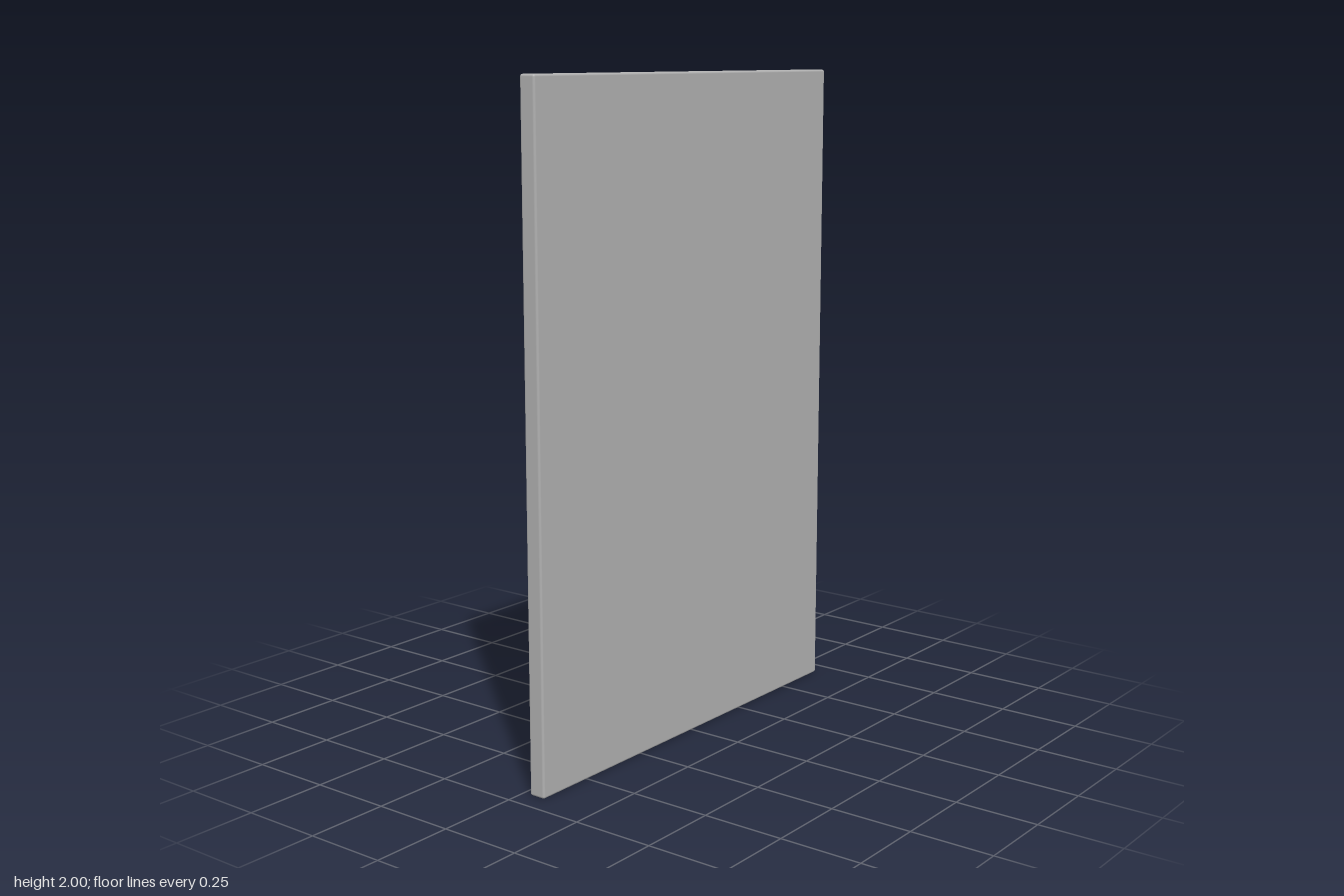
import * as THREE from 'three';
import { RoundedBoxGeometry } from 'three/addons/geometries/RoundedBoxGeometry.js';

export function createModel() {
  const grey = new THREE.MeshStandardMaterial({ color: 0xb0b0b0 });
  grey.name = 'plain grey';
  const model = new THREE.Group();
  model.name = 'doubleDoor';

  // Box given by its bounds; a bevel above zero softens its edges
  function slab(name, x0, x1, y0, y1, z0, z1, bevel, parent = model) {
    const w = x1 - x0, h = y1 - y0, d = z1 - z0;
    const geometry = bevel > 0
      ? new RoundedBoxGeometry(w, h, d, 2, bevel)
      : new THREE.BoxGeometry(w, h, d);
    const mesh = new THREE.Mesh(geometry, grey);
    mesh.name = name;
    mesh.position.set((x0 + x1) / 2, (y0 + y1) / 2, (z0 + z1) / 2);
    parent.add(mesh);
  }

  // Wall and the raised frame on its back
  slab('wall', -0.69, 0.69, 0, 2, 0.026, 0.078, 0.007);
  slab('doorFrame', -0.498, 0.498, 0, 1.77, -0.004, 0.034, 0.005);

  // Two mirrored door leaves, each with two panels and a knob
  for (const side of [-1, 1]) {
    const door = new THREE.Group();
    door.name = side > 0 ? 'leftDoor' : 'rightDoor';
    model.add(door);
    const span = (a, b) => (side > 0 ? [a, b] : [-b, -a]);

    slab('doorLeaf', ...span(0.024, 0.483), 0.042, 1.732, -0.026, 0.004, 0.005, door);
    slab('upperPanel', ...span(0.093, 0.413), 0.89, 1.58, -0.038, -0.02, 0, door);
    slab('lowerPanel', ...span(0.093, 0.413), 0.195, 0.655, -0.038, -0.02, 0, door);

    const knob = new THREE.Mesh(new THREE.SphereGeometry(0.023, 24, 16), grey);
    knob.name = 'knob';
    knob.position.set(side * 0.036, 0.81, -0.055);
    door.add(knob);
  }
  return model;
}
